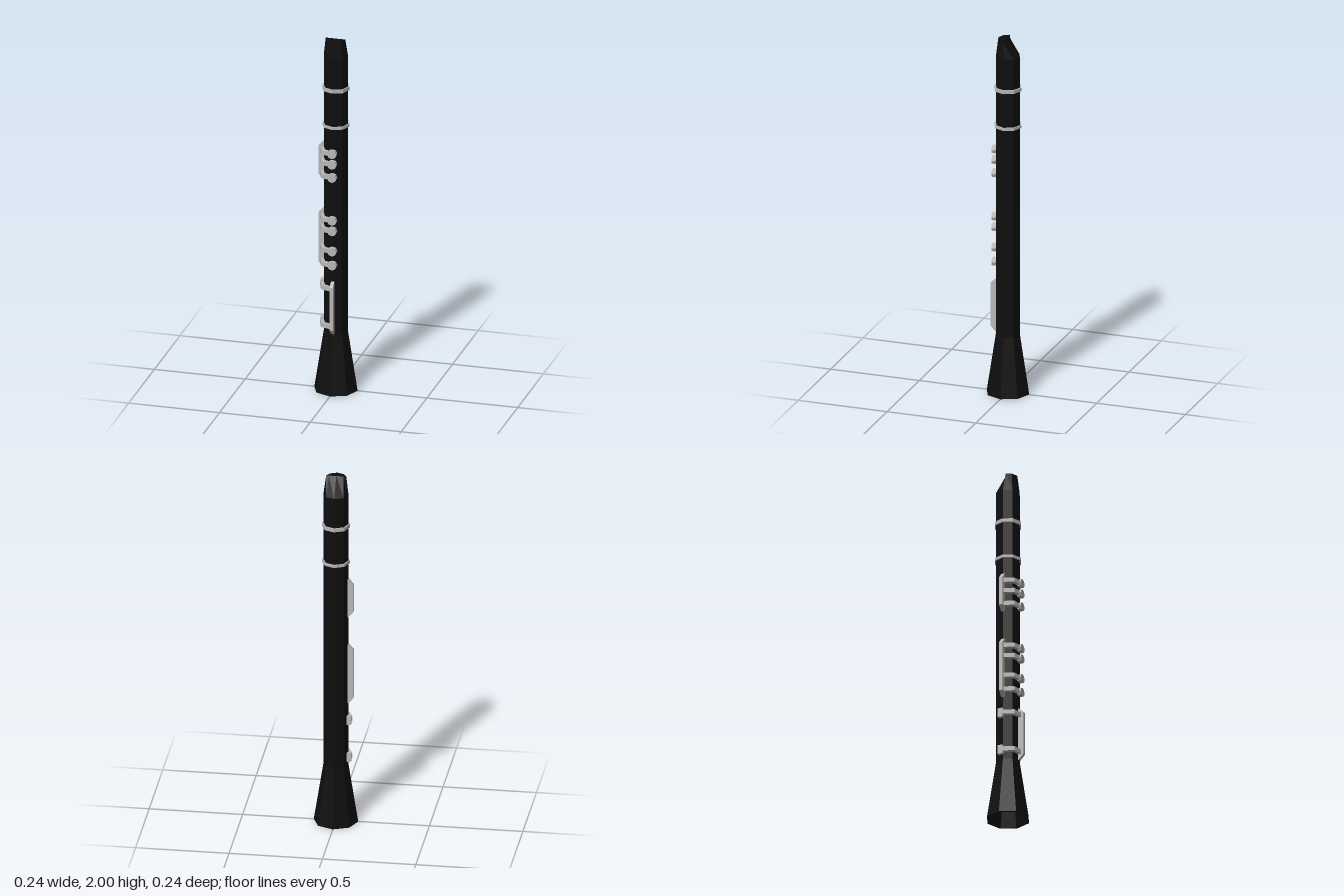
import * as THREE from 'three';

const black = new THREE.MeshStandardMaterial({ color: 0x0e0e0e });
black.name = 'black wood';
const silver = new THREE.MeshStandardMaterial({ color: 0xb8b8b8 });
silver.name = 'silver metal';

const R = 0.067; // body radius
const FRONT_X = R * Math.SQRT1_2;

const v2 = (pts) => pts.map(([a, b]) => new THREE.Vector2(a, b));

// Faceted copy of a geometry
function faceted(geo) {
  const g = geo.index ? geo.toNonIndexed() : geo;
  g.computeVertexNormals();
  return g;
}

function mesh(geo, mat, name) {
  const m = new THREE.Mesh(faceted(geo), mat);
  m.name = name;
  return m;
}

const octLathe = (pts) => new THREE.LatheGeometry(v2(pts), 8);

const extrude = (pts, depth) =>
  new THREE.ExtrudeGeometry(new THREE.Shape(v2(pts)), { depth, bevelEnabled: false });

// Outline given in x,z, thickness h centred on height y
function plateXZ(pts, y, h) {
  return extrude(pts.map(([x, z]) => [x, -z]), h)
    .rotateX(-Math.PI / 2).translate(0, y - h / 2, 0);
}

// Octagonal tube: hollow bell, straight body, mouthpiece cut at the back
function makeBody() {
  const geo = octLathe([
    [0, 0.3], [0.055, 0.3], [0.108, 0], [0.119, 0],
    [R, 0.33], [R, 1.9], [0.054, 2], [0, 2],
  ]);
  const p = geo.attributes.position;
  for (let i = 0; i < p.count; i++) {
    if (p.getY(i) > 1.95 && p.getZ(i) < 0.01) p.setZ(i, 0.01);
  }
  return mesh(geo, black, 'body');
}

function makeRing(y, h) {
  const a = y - h / 2, b = y + h / 2;
  return mesh(octLathe([[0.064, a], [0.075, a], [0.075, b], [0.064, b]]), silver, 'ring');
}

// Arm that wraps a quarter of the body
function makeArm(y, h) {
  return mesh(plateXZ([
    [-0.06, 0], [-0.088, 0], [-0.064, 0.065], [0, 0.083],
    [0, 0.062], [-FRONT_X + 0.003, FRONT_X - 0.003],
  ], y, h), silver, 'keyArm');
}

function makeKey(y) {
  const key = new THREE.Group();
  key.name = 'key';
  const pad = new THREE.CylinderGeometry(0.025, 0.025, 0.024, 8)
    .rotateX(Math.PI / 2).translate(0, y, 0.073);
  key.add(makeArm(y, 0.024), mesh(pad, silver, 'keyPad'));
  return key;
}

// Side rail with sloped ends and its row of keys
function makeKeyCluster(y0, y1, heights, name) {
  const g = new THREE.Group();
  g.name = name;
  const rail = extrude([
    [-0.06, y0], [-0.06, y1], [-0.067, y1], [-0.094, y1 - 0.03],
    [-0.094, y0 + 0.03], [-0.067, y0],
  ], 0.02).translate(0, 0, -0.01);
  g.add(mesh(rail, silver, 'sideRail'));
  for (const y of heights) g.add(makeKey(y));
  return g;
}

// Long front bar held by two arms
function makeLongKey() {
  const g = new THREE.Group();
  g.name = 'longKey';
  const bar = extrude([
    [0.06, 0.335], [0.067, 0.335], [0.094, 0.365], [0.094, 0.61], [0.067, 0.635], [0.06, 0.635],
  ], 0.018).rotateY(-Math.PI / 2).translate(0.009, 0, 0);
  g.add(mesh(bar, silver, 'frontBar'));
  for (const y of [0.38, 0.595]) {
    const foot = new THREE.BoxGeometry(0.022, 0.05, 0.03).translate(-0.072, y, -0.009);
    g.add(makeArm(y, 0.024), mesh(foot, silver, 'armFoot'));
  }
  return g;
}

export function createModel() {
  const model = new THREE.Group();
  model.name = 'clarinet';
  model.add(
    makeBody(),
    makeRing(1.72, 0.02),
    makeRing(1.51, 0.015),
    makeKeyCluster(1.19, 1.41, [1.365, 1.305, 1.23], 'upperKeys'),
    makeKeyCluster(0.69, 1.03, [0.985, 0.925, 0.81, 0.73], 'lowerKeys'),
    makeLongKey(),
  );
  return model;
}
